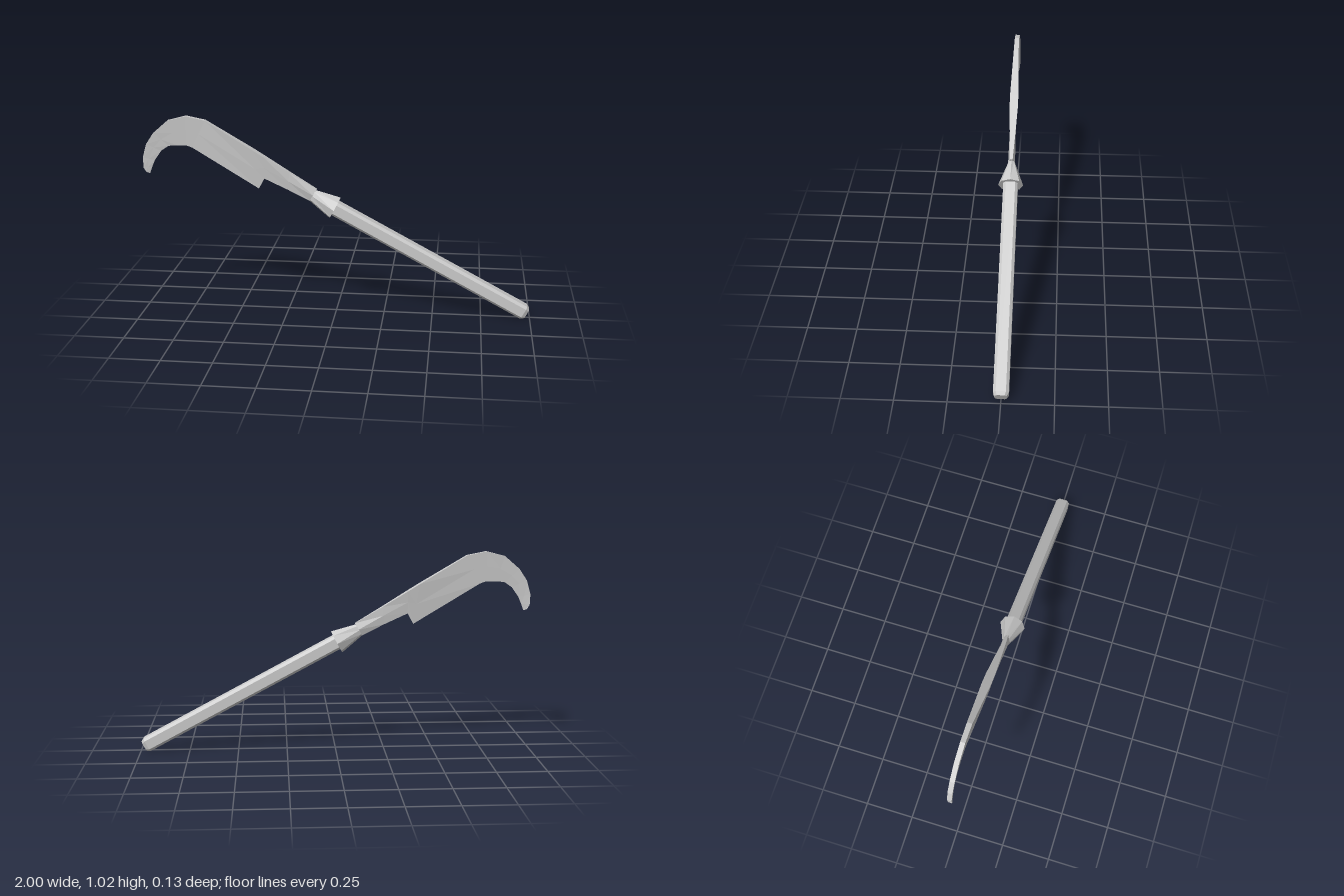
import * as THREE from 'three';

const material = new THREE.MeshStandardMaterial({ color: 0xcccccc, flatShading: true });

// Skin a row of closed cross-sections and cap both ends
function loft(name, rings) {
  const pos = [];
  const tri = (a, b, c) => pos.push(...a, ...b, ...c);
  const n = rings[0].length;
  for (let i = 0; i < rings.length - 1; i++) {
    for (let j = 0; j < n; j++) {
      const k = (j + 1) % n;
      const a = rings[i][j], b = rings[i][k], c = rings[i + 1][k], d = rings[i + 1][j];
      tri(a, b, c);
      tri(a, c, d);
    }
  }
  const first = rings[0], last = rings[rings.length - 1];
  for (let j = 1; j < n - 1; j++) {
    tri(first[0], first[j + 1], first[j]);
    tri(last[0], last[j], last[j + 1]);
  }
  const geometry = new THREE.BufferGeometry();
  geometry.setAttribute('position', new THREE.Float32BufferAttribute(pos, 3));
  geometry.computeVertexNormals();
  const mesh = new THREE.Mesh(geometry, material);
  mesh.name = name;
  return mesh;
}

// Sloping axis of the handle, starting at the mouth of the collar
const origin = [-0.008, 0.56];
const tilt = THREE.MathUtils.degToRad(-28.2);
const dx = Math.cos(tilt), dy = Math.sin(tilt);
// s runs along the axis, u is across it in the blade's plane
const onAxis = (s, u, z) => [origin[0] + dx * s - dy * u, origin[1] + dy * s + dx * u, z];

// Square section with chamfered corners
function handleRing(s, half, flat) {
  return [[half, -flat], [half, flat], [flat, half], [-flat, half],
    [-half, flat], [-half, -flat], [-flat, -half], [flat, -half]]
    .map(([u, z]) => onAxis(s, u, z));
}

// Eight-sided section with corners on the axes
function collarRing(s, ru, rz) {
  return Array.from({ length: 8 }, (_, i) => {
    const a = i * Math.PI / 4;
    return onAxis(s, ru * Math.cos(a), rz * Math.sin(a));
  });
}

// Wedge section from the thick spine to the thin cutting edge
function bladeRing([sx, sy, ex, ey, spine, edge, mid = (spine + edge) / 2]) {
  const mx = (sx + ex) / 2, my = (sy + ey) / 2;
  return [[sx, sy, -spine], [sx, sy, spine], [mx, my, mid],
    [ex, ey, edge], [ex, ey, -edge], [mx, my, -mid]];
}

export function createModel() {
  const group = new THREE.Group();
  group.name = 'billhook';

  group.add(loft('handle', [
    handleRing(-0.03, 0.037, 0.024),
    handleRing(1.108, 0.037, 0.024),
    handleRing(1.125, 0.028, 0.018),
  ]));

  group.add(loft('collar', [
    collarRing(-0.13, 0.033, 0.018),
    collarRing(0, 0.062, 0.064),
  ]));

  // Spine x, y, edge x, y, half thickness at spine, edge and middle; tip to neck
  const stations = [
    [-0.985, 0.722, -0.968, 0.715, 0.007, 0.001],
    [-0.998, 0.745, -0.955, 0.75, 0.01, 0.001],
    [-1.0, 0.8, -0.94, 0.785, 0.011, 0.001],
    [-0.98, 0.87, -0.905, 0.835, 0.012, 0.001],
    [-0.94, 0.93, -0.865, 0.862, 0.012, 0.001],
    [-0.865, 0.995, -0.82, 0.866, 0.012, 0.001],
    [-0.77, 1.02, -0.77, 0.866, 0.012, 0.001],
    [-0.67, 1.0, -0.74, 0.855, 0.013, 0.001],
    [-0.43, 0.857, -0.4, 0.65, 0.022, 0.001],
    [-0.37, 0.82, -0.37, 0.705, 0.022, 0.008],
    [-0.24, 0.74, -0.25, 0.65, 0.015, 0.008, 0.015],
    [-0.1, 0.656, -0.135, 0.592, 0.006, 0.006, 0.018],
  ];
  group.add(loft('blade', stations.map(bladeRing)));

  return group;
}
